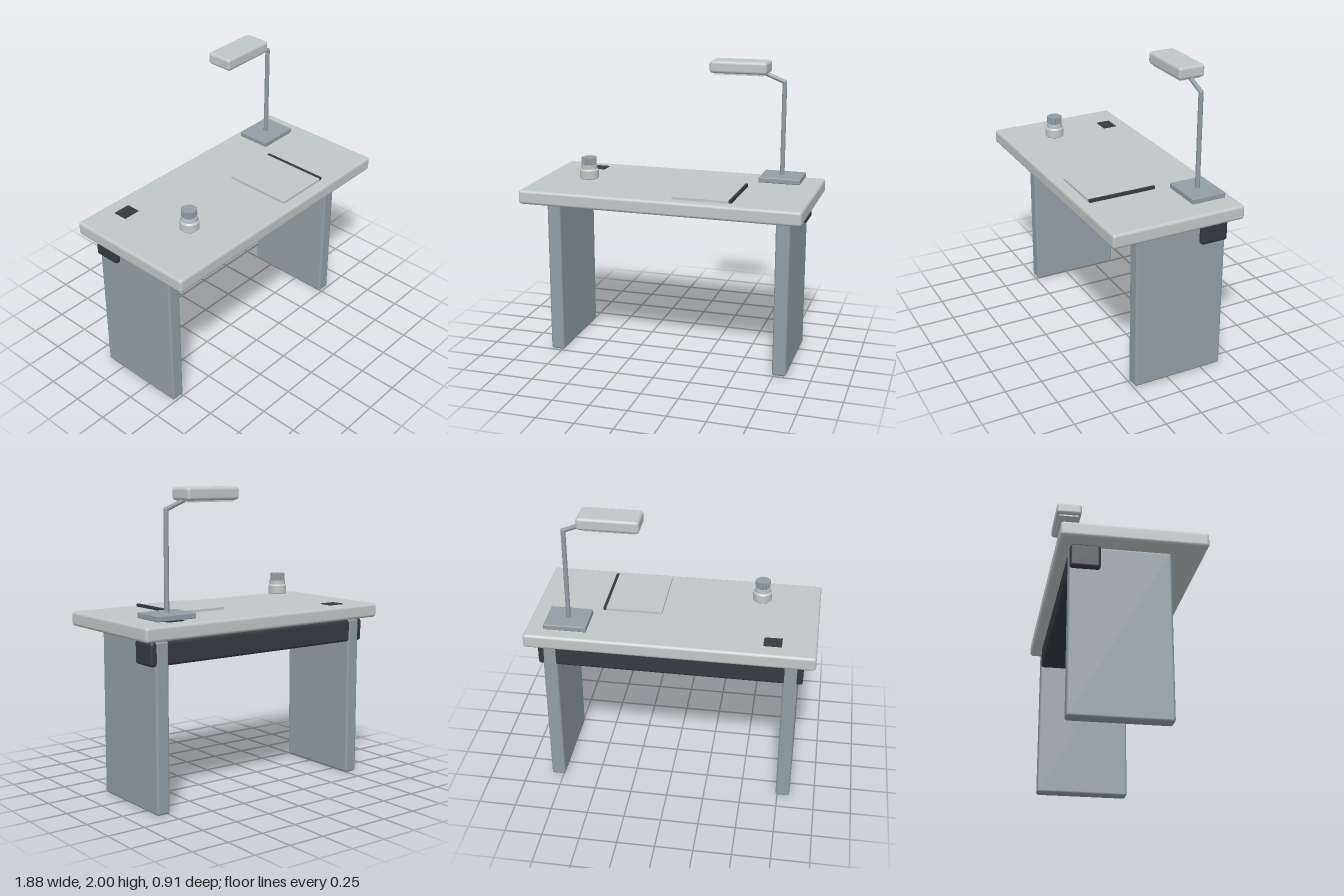
import * as THREE from 'three';
import { RoundedBoxGeometry } from 'three/addons/geometries/RoundedBoxGeometry.js';
import { toCreasedNormals } from 'three/addons/utils/BufferGeometryUtils.js';

function material(name, color) {
  const m = new THREE.MeshStandardMaterial({ color });
  m.name = name;
  return m;
}

export function createModel() {
  const light = material('pale grey', 0xc0c7c7);
  const slate = material('slate grey', 0x929ea5);
  const dark = material('charcoal', 0x343a41);

  const model = new THREE.Group();
  model.name = 'desk';

  const add = (name, geometry, mat, parent = model) => {
    const mesh = new THREE.Mesh(geometry, mat);
    mesh.name = name;
    parent.add(mesh);
    return mesh;
  };
  const group = (name) => {
    const g = new THREE.Group();
    g.name = name;
    model.add(g);
    return g;
  };
  // Box given by its limits on each axis, with an optional edge radius
  const box = (name, [x0, x1], [y0, y1], [z0, z1], mat, radius = 0, parent = model) => {
    const size = [x1 - x0, y1 - y0, z1 - z0];
    const geometry = radius ? new RoundedBoxGeometry(...size, 3, radius) : new THREE.BoxGeometry(...size);
    const mesh = add(name, geometry, mat, parent);
    mesh.position.set((x0 + x1) / 2, (y0 + y1) / 2, (z0 + z1) / 2);
    return mesh;
  };
  // Round rod between two points
  const rod = (name, a, b, radius, mat, parent) => {
    const dir = b.clone().sub(a);
    const mesh = add(name, new THREE.CylinderGeometry(radius, radius, dir.length(), 12), mat, parent);
    mesh.position.copy(a).add(b).multiplyScalar(0.5);
    mesh.quaternion.setFromUnitVectors(new THREE.Vector3(0, 1, 0), dir.normalize());
  };

  // Desk: top, rear beam, two panel legs and cable covers
  box('desktop', [-0.94, 0.94], [1.095, 1.19], [-0.455, 0.455], light, 0.02);
  box('rearBeam', [-0.865, 0.865], [0.932, 1.085], [-0.387, -0.2], dark, 0.02);
  for (const [side, s] of [['left', 1], ['right', -1]]) {
    const leg = box(side + 'Leg', [0.738, 0.832], [0, 1.087], [-0.39, 0.24], slate, 0.016);
    leg.position.x *= s;
    const cover = box(side + 'CableCover', [0.6, 0.717], [1.188, 1.195], [-0.352, -0.257], dark);
    cover.position.x *= s;
  }

  // Desk lamp
  const lamp = group('lamp');
  const foot = new THREE.Vector3(0.673, 1.23, -0.27);
  const elbow = new THREE.Vector3(0.673, 1.867, -0.27);
  const tip = new THREE.Vector3(0.5, 1.937, -0.27);
  box('lampBase', [0.535, 0.815], [1.204, 1.24], [-0.388, -0.152], slate, 0.006, lamp);
  rod('lampPole', foot, elbow, 0.0155, slate, lamp);
  rod('lampArm', elbow, tip, 0.0145, slate, lamp);
  add('lampElbow', new THREE.SphereGeometry(0.0155, 12, 8), slate, lamp).position.copy(elbow);
  box('lampHead', [0.18, 0.57], [1.918, 2], [-0.36, -0.178], light, 0.02, lamp);
  box('lampDiffuser', [0.21, 0.54], [1.908, 1.92], [-0.338, -0.2], light, 0, lamp);

  // Notebook with a dark spine
  const book = group('notebook');
  box('notebookCover', [0.092, 0.466], [1.188, 1.206], [-0.075, 0.383], light, 0, book);
  box('notebookSpine', [0.466, 0.484], [1.192, 1.211], [-0.075, 0.383], dark, 0, book);

  // Small jar with a ribbed lid
  const jar = group('jar');
  jar.position.set(-0.552, 1.23, 0.155);
  const profile = [[0, 0], [0.059, 0], [0.063, 0.004], [0.063, 0.057], [0.054, 0.068], [0.054, 0.095], [0, 0.095]]
    .map(([r, y]) => new THREE.Vector2(r, y));
  add('jarBody', toCreasedNormals(new THREE.LatheGeometry(profile, 24), 0.5), light, jar);

  const ribs = 16;
  const outline = [];
  for (let i = 0; i < ribs * 4; i++) {
    const a = (i / (ribs * 4)) * Math.PI * 2;
    const r = i % 4 < 2 ? 0.05 : 0.045;
    outline.push(new THREE.Vector2(Math.cos(a) * r, Math.sin(a) * r));
  }
  const lid = new THREE.ExtrudeGeometry(new THREE.Shape(outline), { depth: 0.05, bevelEnabled: false });
  lid.rotateX(-Math.PI / 2);
  add('jarLid', lid, slate, jar).position.y = 0.094;

  return model;
}
